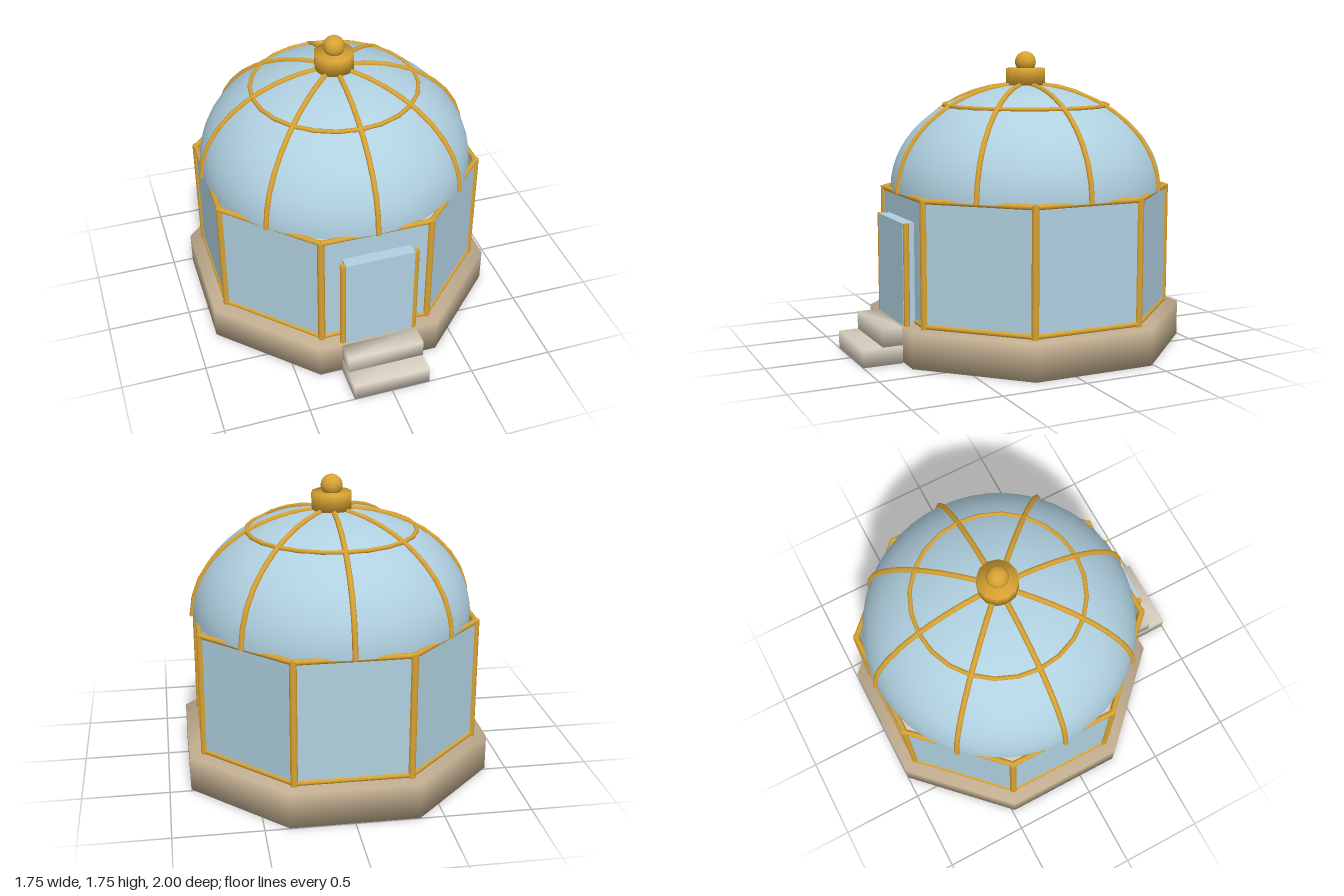
import * as THREE from 'three';
import { mergeVertices } from 'three/addons/utils/BufferGeometryUtils.js';

const CENTER_Z = -0.12;
const WALL_R = 0.855, WALL_BOTTOM = 0.21, WALL_TOP = 0.94;

const mat = (name, color, side = THREE.FrontSide) => {
  const m = new THREE.MeshStandardMaterial({ color, side });
  m.name = name;
  return m;
};

// Share all corners so the shading flows softly around the edges
function soften(geometry) {
  geometry.deleteAttribute('normal');
  geometry.deleteAttribute('uv');
  const g = mergeVertices(geometry, 1e-4);
  g.computeVertexNormals();
  return g;
}

// Corner of a regular octagon with flat sides to the front and back
const corner = (k, r, y) => {
  const a = Math.PI / 8 + k * Math.PI / 4;
  return new THREE.Vector3(Math.cos(a) * r, y, Math.sin(a) * r);
};

function octagonSlab(r, height) {
  const pts = [];
  for (let k = 0; k < 8; k++) {
    const c = corner(k, r, 0);
    pts.push(new THREE.Vector2(c.x, c.z));
  }
  return new THREE.ExtrudeGeometry(new THREE.Shape(pts), { depth: height, bevelEnabled: false })
    .rotateX(-Math.PI / 2);
}

export function createModel() {
  const model = new THREE.Group();
  model.name = 'domedPavilion';
  const house = new THREE.Group();
  house.name = 'pavilion';
  house.position.z = CENTER_Z;
  model.add(house);

  const stone = mat('tan stone', 0xc2ae90);
  const pale = mat('pale stone', 0xd8cfc0);
  const glass = mat('pale blue glass', 0xb0d0e0, THREE.DoubleSide);
  const gold = mat('gold', 0xd8a232);

  const add = (parent, name, geometry, material, x = 0, y = 0, z = 0) => {
    const m = new THREE.Mesh(geometry, material);
    m.name = name;
    m.position.set(x, y, z);
    parent.add(m);
    return m;
  };

  // Straight round bar between two points
  const bar = (parent, name, a, b, r) => {
    const m = add(parent, name, new THREE.CylinderGeometry(r, r, a.distanceTo(b), 10), gold);
    m.position.copy(a).add(b).multiplyScalar(0.5);
    m.quaternion.setFromUnitVectors(new THREE.Vector3(0, 1, 0), b.clone().sub(a).normalize());
  };

  // Plinth and inner floor
  add(house, 'plinth', soften(octagonSlab(0.949, 0.21)), stone);
  add(house, 'floor', octagonSlab(0.83, 0.005), pale, 0, 0.21, 0);

  // Eight wall panels with posts and rails
  const side = 2 * WALL_R * Math.sin(Math.PI / 8);
  for (let k = 0; k < 8; k++) {
    const a = corner(k, WALL_R, 0), b = corner(k + 1, WALL_R, 0);
    const mid = a.clone().add(b).multiplyScalar(0.5);
    const panel = add(house, 'wallPanel',
      new THREE.BoxGeometry(side, WALL_TOP - WALL_BOTTOM, 0.01), glass,
      mid.x, (WALL_TOP + WALL_BOTTOM) / 2, mid.z);
    panel.rotation.y = Math.atan2(mid.x, mid.z);
    bar(house, 'post', corner(k, WALL_R, WALL_BOTTOM), corner(k, WALL_R, 0.945), 0.021);
    for (const y of [0.226, 0.936]) {
      bar(house, 'rail', corner(k, WALL_R, y), corner(k + 1, WALL_R, y), 0.016);
    }
  }

  // Dome shell
  add(house, 'dome',
    new THREE.SphereGeometry(1, 48, 16, 0, Math.PI * 2, 0, Math.PI / 2).scale(0.815, 0.615, 0.815),
    glass, 0, 0.938, 0);

  // Eight dome ribs and a ring
  const ribPath = [];
  for (let i = 0; i <= 6; i++) {
    const a = i / 6 * Math.PI / 2;
    ribPath.push(new THREE.Vector3(Math.cos(a) * 0.82, 0.938 + Math.sin(a) * 0.618, 0));
  }
  const ribGeometry = new THREE.TubeGeometry(new THREE.CatmullRomCurve3(ribPath), 10, 0.016, 8);
  for (let k = 0; k < 8; k++) {
    add(house, 'domeRib', ribGeometry, gold).rotation.y = k * Math.PI / 4;
  }
  add(house, 'domeRing',
    new THREE.TorusGeometry(0.492, 0.013, 8, 24).rotateX(Math.PI / 2), gold, 0, 1.432, 0);

  // Finial
  add(house, 'finialCollar', soften(new THREE.CylinderGeometry(0.117, 0.117, 0.1, 12)), gold, 0, 1.6, 0);
  add(house, 'finialBall', new THREE.SphereGeometry(0.063, 20, 14), gold, 0, 1.687, 0);

  // Door with side posts
  add(model, 'door', new THREE.BoxGeometry(0.41, 0.59, 0.07), glass, 0, 0.505, 0.715);
  for (const s of [-1, 1]) {
    bar(model, 'doorPost', new THREE.Vector3(s * 0.218, 0.21, 0.733),
      new THREE.Vector3(s * 0.218, 0.8, 0.733), 0.018);
  }

  // Entrance steps
  const step = (name, depth, y) => add(model, name,
    soften(new THREE.BoxGeometry(0.46, 0.105, depth)), pale, 0, y, 0.765 + depth / 2);
  step('lowerStep', 0.235, 0.0525);
  step('upperStep', 0.118, 0.1575);

  return model;
}
